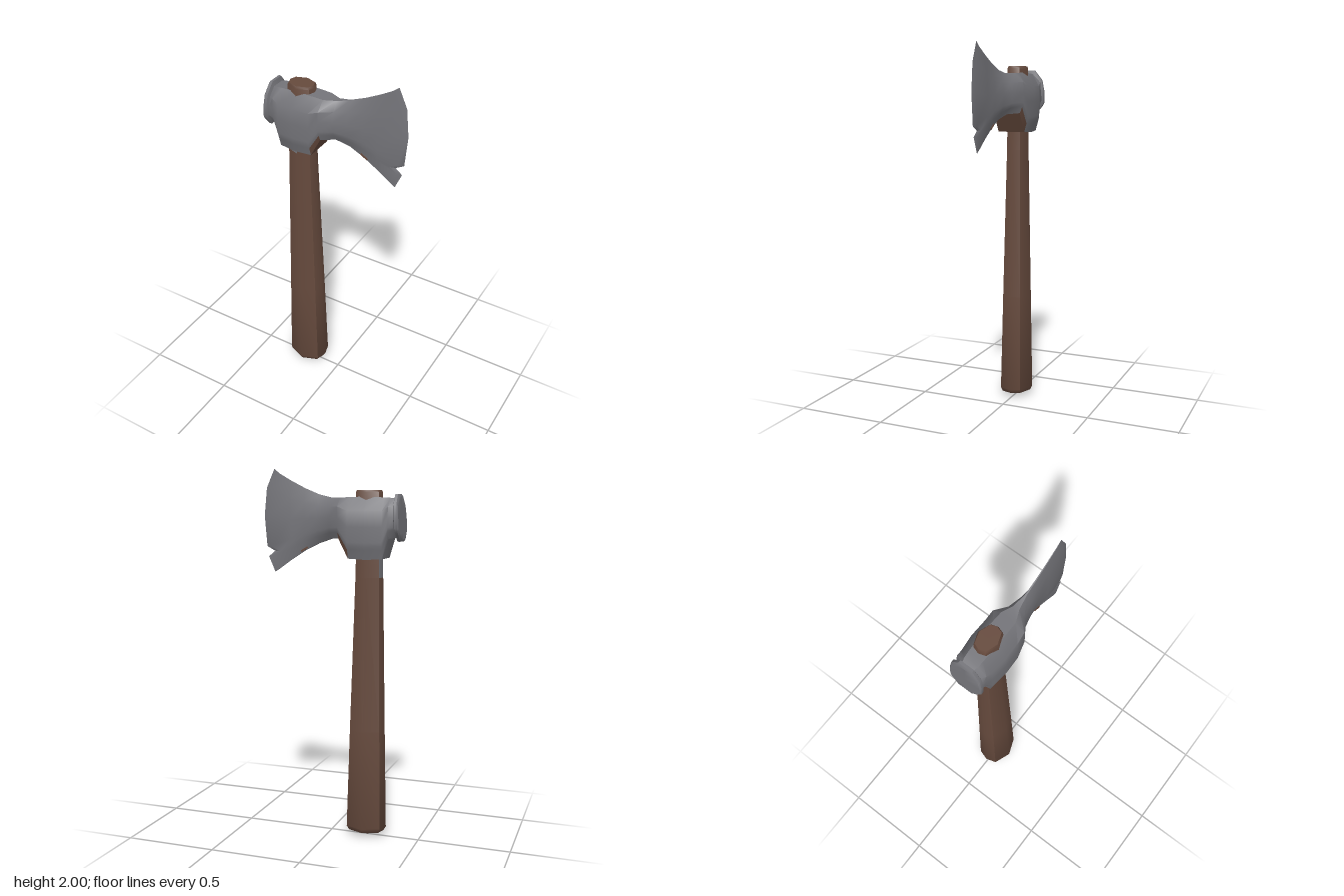
import * as THREE from 'three';
import { toCreasedNormals } from 'three/addons/utils/BufferGeometryUtils.js';

const metal = new THREE.MeshStandardMaterial({ color: 0x75757a });
metal.name = 'steel grey';
const wood = new THREE.MeshStandardMaterial({ color: 0x664a3d });
wood.name = 'dark wood';

// Skin a list of closed rings; pick(i, k) gives the material index of each quad
function loft(name, rings, pick, crease) {
  const n = rings[0].length;
  const groups = [[], []];
  for (let i = 0; i < rings.length - 1; i++) {
    for (let k = 0; k < n; k++) {
      const a = i * n + k, b = i * n + (k + 1) % n, c = b + n, d = a + n;
      groups[pick(i, k)].push(a, d, c, a, c, b);
    }
  }
  const geo = new THREE.BufferGeometry();
  geo.setAttribute('position', new THREE.Float32BufferAttribute(rings.flat(2), 3));
  geo.setIndex(groups.flat());
  geo.addGroup(0, groups[0].length, 0);
  geo.addGroup(groups[0].length, groups[1].length, 1);
  const mesh = new THREE.Mesh(toCreasedNormals(geo, crease), [metal, wood]);
  mesh.name = name;
  return mesh;
}

// Seven height steps on each side of the head, with width profiles for them
const STEPS = [0, 0.15, 0.21, 0.27, 0.52, 0.78, 1];
const POLL = [0.45, 0.8, 0.92, 1, 1, 0.88, 0.42];
const BODY = [0.78, 0.92, 0.98, 1, 1, 0.98, 0.45];
const NECK = [0.4, 0.75, 0.88, 0.95, 1, 0.85, 0.3];
const BLADE = [0.12, 0.6, 0.75, 0.85, 1, 0.7, 0.12];

// Mirror an outline of [x, y] points into a ring of front and back points
function headRing(outline, halfZ, profile) {
  const front = outline.map(([x, y], i) => [x, y, halfZ * profile[i]]);
  const back = front.map(([x, y, z]) => [x, y, -z]).reverse();
  return [...front, ...back];
}

function makeHead() {
  // xBottom, xTop, yBottom, yTop, half thickness, profile
  const sections = [
    [-0.395, -0.38, 1.63, 1.85, 0, POLL],
    [-0.395, -0.38, 1.63, 1.85, 0.085, POLL],
    [-0.388, -0.372, 1.62, 1.862, 0.092, POLL],
    [-0.373, -0.358, 1.62, 1.862, 0.092, POLL],
    [-0.366, -0.352, 1.64, 1.838, 0.08, POLL],
    [-0.332, -0.332, 1.635, 1.842, 0.086, BODY],
    [-0.3, -0.3, 1.53, 1.845, 0.091, BODY],
    [-0.21, -0.21, 1.525, 1.85, 0.1, BODY],
    [-0.115, -0.115, 1.53, 1.848, 0.097, BODY],
    [-0.06, -0.06, 1.635, 1.845, 0.093, BODY],
    [0, 0, 1.63, 1.845, 0.054, NECK],
    [0.07, 0.07, 1.605, 1.862, 0.038, BLADE],
    [0.15, 0.15, 1.565, 1.895, 0.022, BLADE],
    [0.23, 0.23, 1.515, 1.935, 0.017, BLADE],
  ];
  const rings = sections.map(([xb, xt, yb, yt, z, profile]) => headRing(
    STEPS.map((t) => [xb + (xt - xb) * t, yb + (yt - yb) * t]), z, profile));

  // Curved cutting edge with a chipped notch, behind it the start of the bevel
  const edge = [[0.33, 1.445], [0.367, 1.53], [0.33, 1.56], [0.376, 1.585],
    [0.39, 1.75], [0.375, 1.9], [0.33, 2]];
  const bevel = edge.map(([x, y], i) => [x - 0.03, y + (i === 0 ? 0.02 : i === 6 ? -0.025 : 0)]);
  rings.push(headRing(bevel, 0.011, BLADE), headRing(edge, 0, BLADE));

  // Wood-coloured patch on the lower blade side of the socket
  const isPatch = (i, k) => i === 8 && (k === 0 || k === 12 || k === 13);
  return loft('axeHead', rings, (i, k) => (isPatch(i, k) ? 1 : 0), 0.7);
}

function makeHandle() {
  const octagon = [[1, 0], [0.84, 0.62], [0, 1], [-0.84, 0.62],
    [-1, 0], [-0.84, -0.62], [0, -1], [0.84, -0.62]];
  // y, centre x, half width in x, half depth in z
  const sections = [
    [0, -0.21, 0, 0],
    [0.032, -0.203, 0.1, 0.085],
    [0.055, -0.203, 0.113, 0.096],
    [0.6, -0.205, 0.099, 0.083],
    [1.43, -0.21, 0.077, 0.062],
    [1.5, -0.21, 0.0755, 0.061],
    [1.56, -0.21, 0.075, 0.06],
    [1.872, -0.207, 0.074, 0.058],
    [1.884, -0.207, 0.068, 0.052],
    [1.884, -0.207, 0, 0],
  ];
  const rings = sections.map(([y, cx, rx, rz]) =>
    octagon.map(([x, z]) => [cx + x * rx, y, z * rz]));
  // Grey rub marks under the socket on the poll side
  const isRubbed = (i, k) => (i === 4 && k === 4) || (i === 5 && k >= 2 && k <= 4);
  return loft('handle', rings, (i, k) => (isRubbed(i, k) ? 0 : 1), 0.85);
}

export function createModel() {
  const group = new THREE.Group();
  group.name = 'axe';
  group.add(makeHandle(), makeHead());

  // Small stain on the lower edge of the blade
  const stain = new THREE.Mesh(new THREE.BoxGeometry(0.045, 0.009, 0.018), wood);
  stain.name = 'bladeStain';
  stain.position.set(0.155, 1.572, 0);
  stain.rotation.z = -0.55;
  group.add(stain);
  return group;
}
